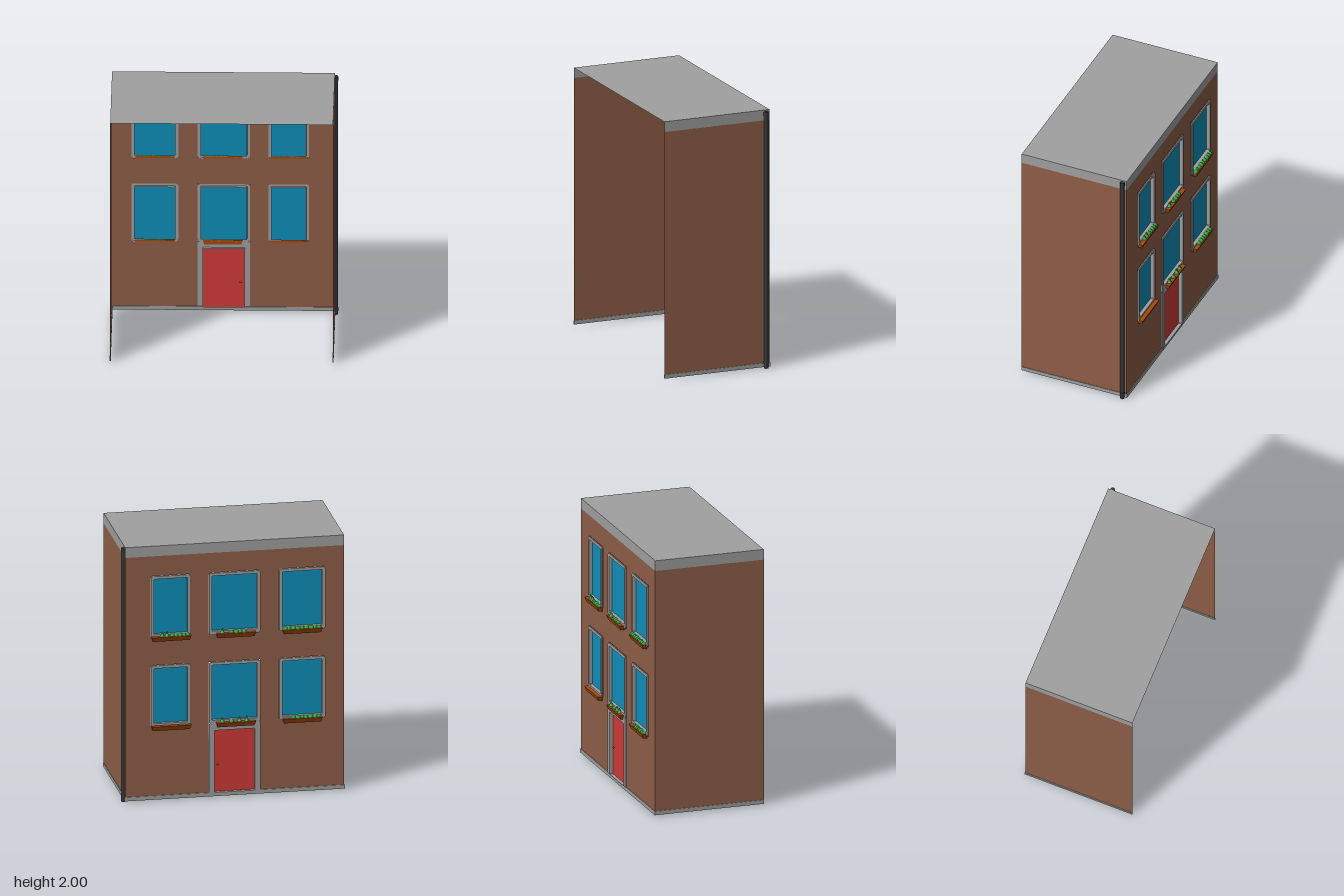
import * as THREE from 'three';

const mat = (name, color, side = THREE.FrontSide) => {
  const m = new THREE.MeshStandardMaterial({ color, side });
  m.name = name;
  return m;
};

// Key positions of the shell
const X0 = -0.845, X1 = 0.82, WALL_Z = -0.41, OPEN_Z = 0.45, TOP = 2, BAND = 1.92, BASE = 0.04;
const TRIM_OUT = -0.422, TRIM_IN = -0.413, PANE_Z = -0.395;

// Adds a rectangle with cut corners to a Shape or Path
function cutRect(p, x0, y0, x1, y1, c = 0.012) {
  p.moveTo(x0 + c, y0);
  p.lineTo(x1 - c, y0);
  p.lineTo(x1, y0 + c);
  p.lineTo(x1, y1 - c);
  p.lineTo(x1 - c, y1);
  p.lineTo(x0 + c, y1);
  p.lineTo(x0, y1 - c);
  p.lineTo(x0, y0 + c);
  p.closePath();
  return p;
}

export function createModel() {
  const brick = mat('brick', 0x8f5f48, THREE.DoubleSide);
  const stone = mat('stone', 0xa0a0a0, THREE.DoubleSide);
  const glass = mat('glass', 0x0f8fba, THREE.DoubleSide);
  const red = mat('door red', 0xcf3b38, THREE.DoubleSide);
  const wood = mat('planter wood', 0xa84a0c);
  const leaf = mat('leaf green', 0x37a343);
  const shrub = mat('shrub green', 0x48bf5c);
  const iron = mat('dark iron', 0x36383a);
  const brass = mat('brass', 0xc07a20);

  const house = new THREE.Group();
  house.name = 'house';
  const add = (name, geo, material, x = 0, y = 0, z = 0, parent = house) => {
    const m = new THREE.Mesh(geo, material);
    m.name = name;
    m.position.set(x, y, z);
    parent.add(m);
    return m;
  };
  const midX = (X0 + X1) / 2, midZ = (WALL_Z + OPEN_Z) / 2;
  const width = X1 - X0, depth = OPEN_Z - WALL_Z;

  // Window columns: outer trim and planter extents in x; rows: outer trim in y
  const columns = [
    { x0: -0.70, x1: -0.35, box: -0.524 },
    { x0: -0.205, x1: 0.185, box: -0.018 },
    { x0: 0.323, x1: 0.626, box: 0.474 },
  ];
  const rows = [{ y0: 0.578, y1: 1.063 }, { y0: 1.278, y1: 1.764 }];
  const door = columns[1];

  // Street wall with window openings; the door opening is a notch from below
  const wall = new THREE.Shape();
  [[X0, BASE], [door.x0, BASE], [door.x0, rows[0].y1], [door.x1, rows[0].y1],
    [door.x1, BASE], [X1, BASE], [X1, BAND], [X0, BAND]]
    .forEach(([x, y], i) => (i ? wall.lineTo(x, y) : wall.moveTo(x, y)));
  wall.closePath();
  columns.forEach((c, i) => rows.forEach((r, j) => {
    if (i === 1 && j === 0) return;
    wall.holes.push(cutRect(new THREE.Path(), c.x0, r.y0, c.x1, r.y1));
  }));
  add('streetWall', new THREE.ShapeGeometry(wall), brick, 0, 0, WALL_Z);
  add('streetCornice', new THREE.PlaneGeometry(width, TOP - BAND), stone, midX, (TOP + BAND) / 2, WALL_Z);
  add('streetPlinth', new THREE.BoxGeometry(width + 0.01, 0.03, 0.01), stone, midX, 0.025, WALL_Z);

  // Side walls with cornice and plinth; the fourth side stays open
  for (const [label, x] of [['right', X0], ['left', X1]]) {
    const sheet = (name, y0, y1, m) => {
      const p = add(label + name, new THREE.PlaneGeometry(depth, y1 - y0), m, x, (y0 + y1) / 2, midZ);
      p.rotation.y = x > 0 ? Math.PI / 2 : -Math.PI / 2;
    };
    sheet('Wall', BASE, BAND, brick);
    sheet('Cornice', BAND, TOP, stone);
    add(label + 'Plinth', new THREE.BoxGeometry(0.008, 0.03, depth), stone, x, 0.025, midZ);
  }
  const roof = add('roof', new THREE.PlaneGeometry(width, depth), stone, midX, TOP, midZ);
  roof.rotation.x = -Math.PI / 2;

  // Stone surround: flat ring plus a thin reveal running back to the pane
  const ring = (name, outer, inner, z0, z1, c) => {
    const s = cutRect(new THREE.Shape(), ...outer, c);
    s.holes.push(cutRect(new THREE.Path(), ...inner, 0.004));
    add(name, new THREE.ExtrudeGeometry(s, { depth: z1 - z0, bevelEnabled: false }), stone, 0, 0, z0);
  };
  const opening = (name, outer, inner, paneMat, c) => {
    const [a, b, d, e] = inner, t = 0.004;
    ring(name + 'Trim', outer, inner, TRIM_OUT, TRIM_IN, c);
    ring(name + 'Reveal', [a - t, b - t, d + t, e + t], inner, TRIM_OUT, PANE_Z, 0.004);
    add(name + 'Pane', new THREE.PlaneGeometry(d - a, e - b), paneMat, (a + d) / 2, (b + e) / 2, PANE_Z);
  };
  columns.forEach((c) => rows.forEach((r) => opening('window',
    [c.x0, r.y0, c.x1, r.y1], [c.x0 + 0.024, r.y0 + 0.03, c.x1 - 0.024, r.y1 - 0.022], glass)));

  // Door
  opening('door', [door.x0, BASE, door.x1, 0.58], [-0.165, BASE + 0.001, 0.143, 0.528], red, 0.0005);
  for (const z of [PANE_Z + 0.006, PANE_Z - 0.006])
    add('doorKnob', new THREE.SphereGeometry(0.008, 8, 6), brass, 0.115, 0.255, z);

  // Planters: trough tapering downward, with round plants and cone shrubs
  const trough = new THREE.BoxGeometry(0.298, 0.036, 0.043);
  const pos = trough.attributes.position;
  for (let i = 0; i < pos.count; i++) {
    if (pos.getY(i) > 0) continue;
    pos.setX(i, pos.getX(i) * 0.94);
    if (pos.getZ(i) < 0) pos.setZ(i, pos.getZ(i) + 0.014);
  }
  trough.computeVertexNormals();
  const ball = new THREE.SphereGeometry(0.019, 10, 8);
  const cone = new THREE.ConeGeometry(0.021, 0.05, 8);
  const planting = [
    [ // lower row
      { balls: [-0.65, -0.62, -0.585, -0.55, -0.52, -0.49, -0.455], cones: [] },
      { balls: [0.015], cones: [-0.1, -0.045, 0.085] },
      { balls: [], cones: [] },
    ],
    [ // upper row
      { balls: [-0.65, -0.62, -0.59, -0.555, -0.52, -0.49, -0.455, -0.42, -0.395], cones: [] },
      { balls: [-0.08, -0.05, -0.02, 0.015], cones: [0.085] },
      { balls: [0.348, 0.378, 0.408, 0.437, 0.465], cones: [0.505, 0.542] },
    ],
  ];
  rows.forEach((r, j) => columns.forEach((c, i) => {
    const g = new THREE.Group();
    g.name = 'planter';
    house.add(g);
    add('trough', trough, wood, c.box, r.y0 - 0.003, -0.4325, g);
    planting[j][i].balls.forEach((x, k) => {
      const b = add('roundPlant', ball, leaf, x, r.y0 + 0.014, -0.43, g);
      b.scale.setScalar(k % 3 === 2 ? 1.15 : 1);
    });
    planting[j][i].cones.forEach((x) => add('coneShrub', cone, shrub, x, r.y0 + 0.031, -0.43, g));
  }));

  // Drainpipe on the corner
  add('drainpipe', new THREE.CylinderGeometry(0.0165, 0.0165, 1.99, 12), iron, 0.828, 0.995, -0.378);
  for (const y of [0.04, 1.97])
    add('pipeCollar', new THREE.CylinderGeometry(0.018, 0.018, 0.03, 12), iron, 0.828, y, -0.378);

  return house;
}
